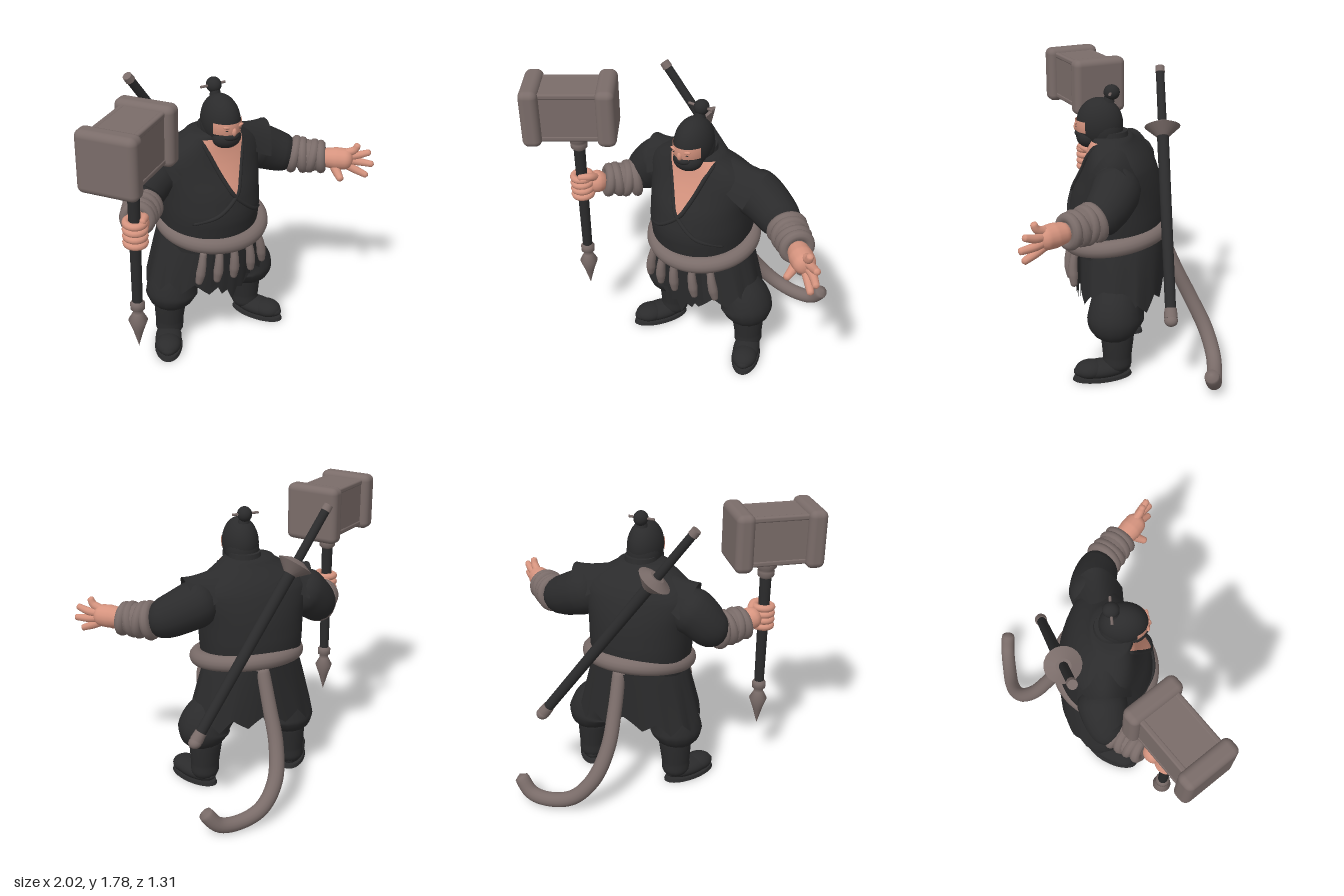
import * as THREE from 'three';
import { mergeVertices } from 'three/addons/utils/BufferGeometryUtils.js';
import { RoundedBoxGeometry } from 'three/addons/geometries/RoundedBoxGeometry.js';

const material = (name, color) => {
  const m = new THREE.MeshStandardMaterial({ color, side: THREE.DoubleSide });
  m.name = name;
  return m;
};
const V = (x, y, z) => new THREE.Vector3(x, y, z);
const UP = V(0, 1, 0);

// Sheet of (nu x nv) quads from a rule fn(u, v) -> [x, y, z]
function grid(nu, nv, fn) {
  const pos = [], idx = [];
  for (let j = 0; j <= nv; j++) for (let i = 0; i <= nu; i++) pos.push(...fn(i / nu, j / nv));
  for (let j = 0; j < nv; j++) for (let i = 0; i < nu; i++) {
    const a = j * (nu + 1) + i, b = a + nu + 1;
    idx.push(a, a + 1, b, a + 1, b + 1, b);
  }
  const g = new THREE.BufferGeometry();
  g.setAttribute('position', new THREE.Float32BufferAttribute(pos, 3));
  g.setIndex(idx);
  const m = mergeVertices(g, 1e-5);
  m.computeVertexNormals();
  return m;
}

// Round-ended tube whose radius runs through the given list
function limb(points, radii, n = 36, sides = 16) {
  const curve = new THREE.CatmullRomCurve3(points.map(p => V(...p)));
  const len = curve.getLength(), g = new THREE.TubeGeometry(curve, n, 1, sides);
  const pos = g.attributes.position, v = V(0, 0, 0);
  for (let i = 0; i <= n; i++) {
    const t = i / n, k = t * (radii.length - 1), a = Math.min(Math.floor(k), radii.length - 2);
    let r = THREE.MathUtils.lerp(radii[a], radii[a + 1], k - a);
    const d = Math.min(Math.min(t, 1 - t) * len / (r * 0.8), 1);
    r *= Math.sqrt(1 - (1 - d) ** 2);
    const c = curve.getPointAt(t);
    for (let j = 0; j <= sides; j++) {
      const q = i * (sides + 1) + j;
      v.fromBufferAttribute(pos, q).sub(c).multiplyScalar(r).add(c);
      pos.setXYZ(q, v.x, v.y, v.z);
    }
  }
  g.deleteAttribute('uv'); g.deleteAttribute('normal');
  const m = mergeVertices(g, 1e-5);
  m.computeVertexNormals();
  return m;
}

// Torso cross-sections: y, half width, back z, front z
const SECTIONS = [[0.72, 0.3, -0.23, 0.31], [0.82, 0.305, -0.24, 0.33], [0.95, 0.315, -0.25, 0.345],
  [1.1, 0.32, -0.235, 0.31], [1.2, 0.34, -0.21, 0.26], [1.3, 0.35, -0.17, 0.22],
  [1.38, 0.25, -0.1, 0.2], [1.44, 0.13, -0.03, 0.19]];
function rawSection(y) {
  let i = 0;
  while (i < SECTIONS.length - 2 && y > SECTIONS[i + 1][0]) i++;
  const a = SECTIONS[i], b = SECTIONS[i + 1];
  const t = THREE.MathUtils.clamp((y - a[0]) / (b[0] - a[0]), 0, 1);
  return [1, 2, 3].map(k => a[k] + (b[k] - a[k]) * t);
}
const section = y => {
  const a = rawSection(y - 0.025), b = rawSection(y + 0.025);
  return a.map((v, k) => (v + b[k]) / 2);
};
function frontZ(x, y) {
  const [rx, zb, zf] = section(y);
  return (zb + zf) / 2 + (zf - zb) / 2 * Math.sqrt(Math.max(0, 1 - (x / rx) ** 2));
}
// Signed power, for boxier loops
const soft = (c, e) => Math.sign(c) * Math.abs(c) ** e;

export function createModel() {
  const root = new THREE.Group();
  root.name = 'hammerWarrior';
  const cloth = material('black cloth', 0x2b2b2c);
  const wrap = material('grey brown', 0x7a6c69);
  const skin = material('skin', 0xd6947f);
  const add = (name, geo, mat, p = [0, 0, 0], s = [1, 1, 1], parent = root) => {
    const m = new THREE.Mesh(geo, mat);
    m.name = name; m.position.set(...p); m.scale.set(...s);
    parent.add(m);
    return m;
  };
  const ball = new THREE.SphereGeometry(1, 28, 20);

  // Torso with a closed top and squarer back, bare chest and crossed lapels
  add('torso', grid(48, 40, (u, v) => {
    const w = Math.min(v / 0.9, 1), k = 1 - Math.max(0, v - 0.9) / 0.1;
    const y = 0.72 + 0.72 * w, [rx, zb, zf] = section(y), a = u * Math.PI * 2;
    const sz = Math.sin(a) < 0 ? soft(Math.sin(a), 0.75) : Math.sin(a);
    return [rx * Math.cos(a) * k, y + 0.015 * (1 - k), (zb + zf) / 2 + (zf - zb) / 2 * sz * k];
  }), cloth);
  const chestHalf = y => 0.14 * Math.max(0, (y - 1.085) / 0.335) ** 0.8;
  add('chest', grid(16, 20, (u, v) => {
    const y = 1.085 + 0.335 * v, x = 0.02 + (u * 2 - 1) * chestHalf(y);
    return [x, y, frontZ(x, y) + 0.008];
  }), skin);
  const onChest = (x, y) => [x, y, frontZ(x, y) + 0.002];
  for (const [s, name, tail] of [[1, 'leftLapel', [[-0.1, 0.99], [-0.24, 0.93]]], [-1, 'rightLapel', [[0.14, 0.97], [0.27, 0.9]]]]) {
    const path = [1.41, 1.33, 1.24, 1.15, 1.09].map(y => [0.02 + s * (chestHalf(y) + 0.006), y]);
    add(name, limb([...path, ...tail].map(p => onChest(...p)), [0.013, 0.013, 0.01]), cloth);
  }

  // Pointed shoulder caps of the vest
  for (const [s, tip] of [[-1, 0.375], [1, 0.435]])
    add('shoulderCap', grid(16, 16, (u, v) => {
      const w = v * 2 - 1, x = 0.1 + (tip - 0.1) * u - 0.06 * u * w * w;
      return [s * x, 1.428 - 0.085 * u + 0.03 * u ** 4 - (0.06 + 0.12 * u) * w * w, 0.03 - 0.02 * u + w * (0.13 + 0.03 * u)];
    }), cloth);

  // Skirt with a ragged hem and a pointed front panel
  add('skirt', grid(120, 10, (u, v) => {
    const a = u * Math.PI * 2, zig = Math.abs(((u * 12) % 1) * 2 - 1);
    const hem = 0.425 + 0.075 * zig + 0.02 * Math.sin(a * 3);
    const y = 0.82 + (hem - 0.82) * v, rx = 0.29 + 0.1 * v ** 0.85, e = 1 - 0.15 * v;
    return [rx * soft(Math.cos(a), e), y, 0.005 + (0.265 - 0.01 * v) * soft(Math.sin(a), e)];
  }), cloth);
  add('frontPanel', grid(24, 6, (u, v) => {
    const x = 0.02 + (u - 0.5) * 0.3, hem = 0.35 + 0.25 * Math.abs(u - 0.5) + 0.05 * Math.abs(((u * 4 + 0.5) % 1) * 2 - 1);
    return [x, 0.76 + (hem - 0.76) * v, 0.32 - 0.03 * v - 0.9 * x * x];
  }), cloth);

  // Rope belt, lower in front, with hanging tassels
  const ring = [];
  for (let i = 0; i < 24; i++) {
    const a = i / 24 * Math.PI * 2, z = 0.045 + 0.285 * Math.sin(a);
    ring.push(V(0.02 + 0.305 * Math.cos(a), 0.835 - 0.17 * z, z));
  }
  add('belt', new THREE.TubeGeometry(new THREE.CatmullRomCurve3(ring, true), 80, 0.052, 14, true), wrap);
  for (const x of [-0.185, -0.095, 0, 0.115, 0.215]) {
    const z = 0.04 + 0.29 * Math.sqrt(1 - (x / 0.34) ** 2);
    add('tassel', limb([[x, 0.76, z], [x * 1.1, 0.66, z + 0.01], [x * 1.2, 0.535, z]], [0.02, 0.026, 0.03, 0.018], 20, 10), wrap);
  }

  // Legs, boots and turned-out feet
  for (const [s, x, out, turn] of [[-1, 0.245, 0.072, 0.55], [1, 0.315, 0.055, 0.42]]) {
    add('trouserLeg', limb([[s * 0.14, 0.72, 0], [s * 0.19, 0.55, 0.01], [s * x, 0.39, 0.01], [s * x, 0.235, 0.01]], [0.11, 0.12, 0.145, 0.165, 0.14]), cloth);
    add('bootShaft', limb([[s * x, 0.36, -0.01], [s * (x + 0.01), 0.2, -0.01], [s * (x + 0.015), 0.02, -0.01]], [0.11, 0.1, 0.088, 0.09]), cloth);
    const foot = new THREE.Group();
    foot.name = 'foot';
    foot.position.set(s * (x + out), 0, 0.075);
    foot.rotation.y = s * turn;
    root.add(foot);
    add('shoe', ball, cloth, [0, 0.055, 0], [0.083, 0.055, 0.18], foot);
    add('toe', ball, cloth, [0, 0.06, 0.075], [0.08, 0.055, 0.095], foot);
    add('sole', new THREE.CylinderGeometry(0.95, 1, 0.02, 32), cloth, [0, 0.01, 0], [0.088, 1, 0.186], foot);
  }

  // Head in a hood, masked face and topknot
  add('neck', new THREE.CylinderGeometry(0.095, 0.12, 0.12, 28), cloth, [0.02, 1.41, 0.07]);
  add('hood', ball, cloth, [0.02, 1.51, 0.14], [0.107, 0.155, 0.14]);
  add('hoodBack', ball, cloth, [0.02, 1.47, 0.11], [0.103, 0.13, 0.11]);
  const band = new THREE.SphereGeometry(1, 28, 10, Math.PI * 0.15, Math.PI * 0.7, 1.42, 0.45);
  add('face', band, skin, [0.02, 1.51, 0.146], [0.109, 0.155, 0.142]);
  add('nose', ball, skin, [0.02, 1.482, 0.284], [0.015, 0.026, 0.014]);
  add('mask', ball, cloth, [0.02, 1.425, 0.2], [0.09, 0.066, 0.082]);
  add('maskBridge', ball, cloth, [0.02, 1.447, 0.25], [0.055, 0.028, 0.042]);
  for (const s of [-1, 1]) {
    add('eye', ball, cloth, [0.02 + s * 0.042, 1.494, 0.275], [0.013, 0.003, 0.004]);
    const brow = add('brow', ball, skin, [0.02 + s * 0.042, 1.513, 0.274], [0.027, 0.009, 0.01]);
    brow.rotation.z = s * 0.25;
  }
  add('bunTie', new THREE.CylinderGeometry(0.025, 0.035, 0.04, 16), cloth, [0.02, 1.66, 0.085]);
  add('bun', ball, cloth, [0.02, 1.698, 0.067], [0.044, 0.046, 0.048]);
  add('hairPin', new THREE.CylinderGeometry(0.008, 0.008, 0.165, 8), wrap, [0.015, 1.7, 0.067]).rotation.z = Math.PI / 2;

  // Sleeves and wrapped forearms
  const arms = [
    { sleeve: [[0.24, 1.25, -0.01], [0.4, 1.19, -0.005], [0.54, 1.13, 0.035], [0.63, 1.11, 0.09]], from: [0.61, 1.11, 0.07], to: [0.77, 1.1, 0.205] },
    { sleeve: [[-0.24, 1.25, -0.01], [-0.36, 1.18, 0], [-0.445, 1.1, 0.03], [-0.51, 1.06, 0.1]], from: [-0.47, 1.06, 0.08], to: [-0.6, 1.07, 0.235] }];
  for (const { sleeve, from, to } of arms) {
    add('sleeve', limb(sleeve, [0.14, 0.145, 0.13, 0.11]), cloth);
    add('forearmWrap', limb([from, to], [0.1, 0.1, 0.09]), wrap);
    const a = V(...from), b = V(...to), dir = b.clone().sub(a).normalize();
    for (let i = 0; i < 4; i++) {
      const c = a.clone().lerp(b, 0.05 + i * 0.27), tilt = (i % 2 ? 1 : -1) * 0.12;
      const m = add('wrapRing', new THREE.TorusGeometry(0.09 - i * 0.005, 0.031, 10, 28), wrap, c.toArray());
      m.quaternion.setFromUnitVectors(V(0, 0, 1), dir.clone().add(V(0, tilt, 0)).normalize());
    }
  }

  // Open left hand
  add('leftPalm', limb([[0.74, 1.1, 0.18], [0.81, 1.1, 0.25], [0.895, 1.1, 0.325]], [0.055, 0.07, 0.064], 24), skin);
  const tips = [[0.915, 1.21, 0.34], [0.99, 1.15, 0.38], [1, 1.07, 0.405], [0.965, 0.995, 0.395]];
  tips.forEach((t, i) => add('leftFinger', limb([[0.85, 1.135 - i * 0.022, 0.28],
    [0.9 + (i % 3 ? 0.025 : 0), 1.165 - i * 0.043, 0.325], t], [0.027, 0.025, 0.019], 18, 10), skin));
  add('leftThumb', limb([[0.8, 1.08, 0.24], [0.79, 1.03, 0.3], [0.78, 0.995, 0.36]], [0.034, 0.028, 0.02], 18, 10), skin);

  // Right fist gripping the handle
  add('rightPalm', limb([[-0.59, 1.07, 0.22], [-0.62, 1.08, 0.28], [-0.65, 1.09, 0.33]], [0.055, 0.07, 0.065], 20), skin);
  for (let i = 0; i < 4; i++)
    add('rightFinger', new THREE.TorusGeometry(0.052, 0.022, 10, 22), skin, [-0.672, 1.015 + i * 0.041, 0.352]).rotation.x = Math.PI / 2 + 0.08;
  add('rightThumb', limb([[-0.61, 1.12, 0.29], [-0.61, 1.15, 0.35], [-0.66, 1.155, 0.41]], [0.025, 0.024, 0.018], 18, 10), skin);

  // War hammer
  const hammer = new THREE.Group();
  hammer.name = 'hammer';
  hammer.position.set(-0.675, 0, 0.352);
  root.add(hammer);
  add('handle', new THREE.CylinderGeometry(0.036, 0.03, 0.85, 20), cloth, [0, 1.02, 0], [1, 1, 1], hammer);
  const lathe = pts => new THREE.LatheGeometry(pts.map(p => new THREE.Vector2(...p)), 24);
  add('collar', lathe([[0.035, 1.33], [0.05, 1.345], [0.052, 1.375], [0.045, 1.385], [0.062, 1.4], [0.064, 1.44], [0.05, 1.47]]), wrap, [0, 0, 0], [1, 1, 1], hammer);
  add('spike', lathe([[0, 0.31], [0.03, 0.42], [0.056, 0.495], [0.03, 0.545], [0.026, 0.57], [0.042, 0.575], [0.043, 0.61], [0.03, 0.625]]), wrap, [0, 0, 0], [1, 1, 1], hammer);
  const head = new THREE.Group();
  head.name = 'hammerHead';
  head.position.set(-0.026, 1.605, 0.017);
  head.rotation.y = 0.607;
  hammer.add(head);
  add('block', new RoundedBoxGeometry(0.42, 0.3, 0.26, 3, 0.025), wrap, [0, 0, 0], [1, 1, 1], head);
  for (const s of [-1, 1]) {
    add('endCap', new RoundedBoxGeometry(0.112, 0.355, 0.35, 4, 0.04), wrap, [s * 0.217, 0, 0], [1, 1, 1], head);
    for (const t of [-1, 1])
      add('edgeTrim', new RoundedBoxGeometry(0.36, 0.035, 0.035, 2, 0.012), wrap, [0, s * 0.135, t * 0.117], [1, 1, 1], head);
  }

  // Sheathed sword slung across the back
  const top = V(-0.415, 1.765, -0.165), end = V(0.505, 0.48, -0.355), axis = end.clone().sub(top).normalize();
  const rod = (name, a, b, r0, r1, mat) => {
    const p = top.clone().lerp(end, a), q = top.clone().lerp(end, b);
    const m = add(name, new THREE.CylinderGeometry(r1, r0, p.distanceTo(q), 20), mat, p.clone().add(q).multiplyScalar(0.5).toArray());
    m.quaternion.setFromUnitVectors(UP, axis);
  };
  rod('pommel', 0, 0.025, 0.028, 0.03, wrap);
  rod('grip', 0.02, 0.25, 0.026, 0.027, cloth);
  rod('guardTop', 0.232, 0.25, 0.045, 0.11, wrap);
  rod('guardBottom', 0.25, 0.29, 0.11, 0.04, wrap);
  rod('scabbard', 0.28, 0.97, 0.036, 0.032, cloth);
  rod('scabbardTip', 0.955, 0.99, 0.036, 0.04, wrap);
  add('scabbardEnd', ball, wrap, end.toArray(), [0.04, 0.035, 0.04]);

  // Long sash end curling out behind
  add('tail', limb([[0.03, 0.84, -0.23], [0.02, 0.6, -0.33], [0.02, 0.4, -0.43], [0.07, 0.22, -0.53], [0.18, 0.095, -0.59],
    [0.33, 0.047, -0.61], [0.46, 0.065, -0.615], [0.55, 0.17, -0.6]], [0.04, 0.044, 0.047, 0.046, 0.045], 60), wrap);

  return root;
}
